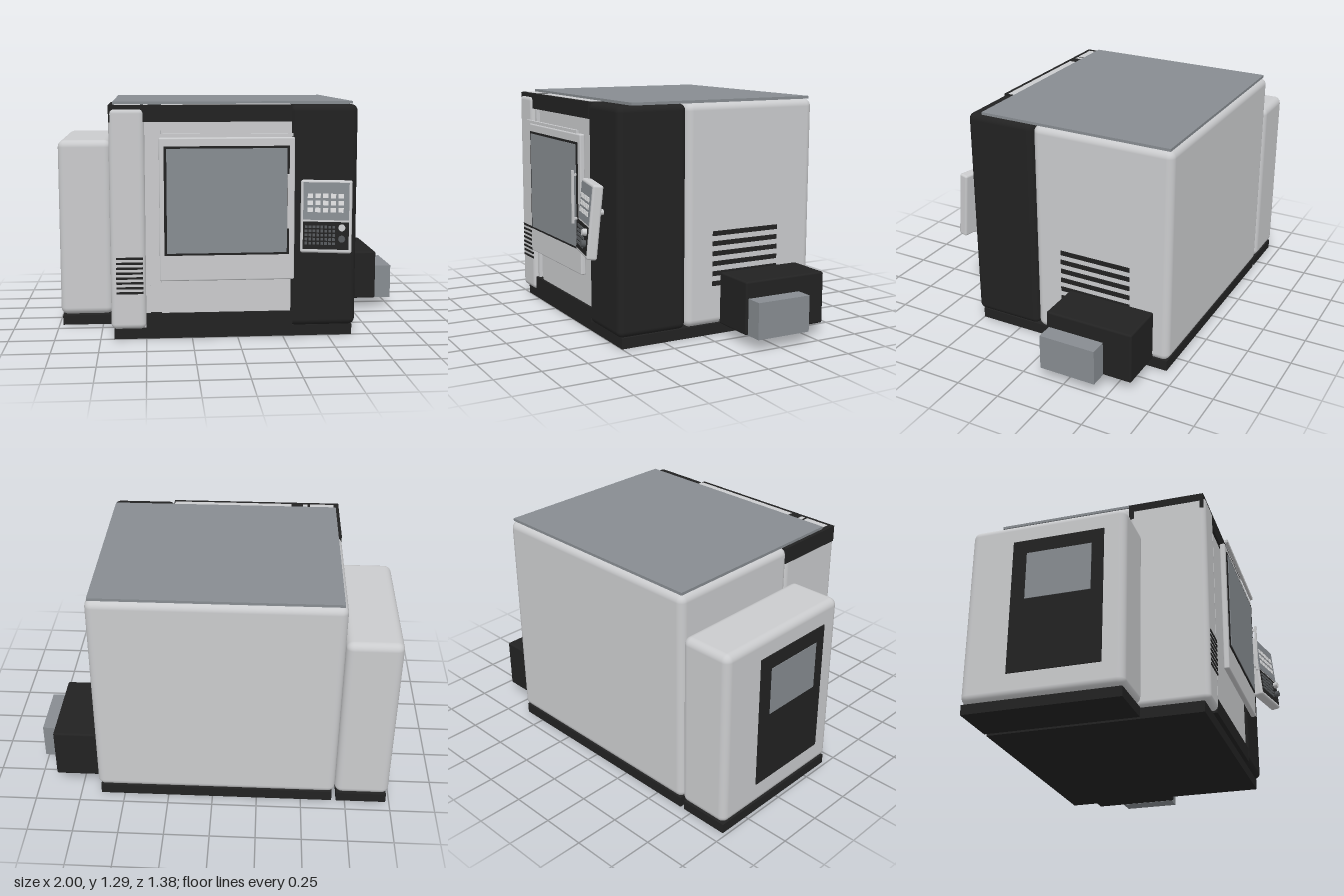
import * as THREE from 'three';
import { RoundedBoxGeometry } from 'three/addons/geometries/RoundedBoxGeometry.js';

const mat = (name, color) => {
  const m = new THREE.MeshStandardMaterial({ color });
  m.name = name;
  return m;
};

export function createModel() {
  const light = mat('light grey paint', 0xcacbcd);
  const black = mat('black paint', 0x222222);
  const grey = mat('grey glass', 0x878c91);
  const white = mat('white keys', 0xe0e1e2);
  const dark = mat('dark grey keys', 0x55585b);

  const model = new THREE.Group();
  model.name = 'machiningCentre';

  // Box from its limits on each axis; r > 0 rounds the edges
  const box = (name, material, x, y, z, r = 0, parent = model) => {
    const w = x[1] - x[0], h = y[1] - y[0], d = z[1] - z[0];
    const geo = r ? new RoundedBoxGeometry(w, h, d, 4, r) : new THREE.BoxGeometry(w, h, d);
    const mesh = new THREE.Mesh(geo, material);
    mesh.name = name;
    mesh.position.set((x[0] + x[1]) / 2, (y[0] + y[1]) / 2, (z[0] + z[1]) / 2);
    parent.add(mesh);
    return mesh;
  };

  // Plinths
  box('basePlinth', black, [-0.675, 0.635], [0, 0.06], [-0.68, 0.5]);
  box('cabinetPlinth', black, [-0.98, -0.7], [0, 0.055], [-0.68, 0.17]);

  // Main enclosure and roof
  box('rearEnclosure', light, [-0.69, 0.65], [0.06, 1.275], [-0.69, 0.12], 0.04);
  box('roofPlate', grey, [-0.67, 0.635], [1.275, 1.29], [-0.67, 0.44]);
  box('rightFrontColumn', black, [0.285, 0.65], [0.06, 1.275], [0.12, 0.525], 0.035);
  box('leftFrontColumn', light, [-0.69, -0.5], [0.06, 1.26], [0.1, 0.533], 0.03);

  // Front opening
  box('frontWall', light, [-0.55, 0.3], [0.06, 1.2], [0.1, 0.49]);
  box('innerPanel', light, [-0.415, 0.29], [0.14, 1.19], [0.48, 0.51]);
  box('wallStrip', light, [-0.5, -0.475], [0.14, 1.19], [0.48, 0.51]);
  box('topBeam', black, [-0.69, 0.29], [1.185, 1.275], [0.1, 0.523]);
  box('bottomBeam', black, [-0.5, 0.3], [0.06, 0.145], [0.3, 0.523]);
  for (const x of [[-0.66, -0.52], [-0.505, -0.48], [-0.41, 0.285]]) {
    box('beamInset', light, x, [1.272, 1.277], [0.43, 0.5]);
  }

  // Sliding door
  box('door', light, [-0.425, 0.3], [0.335, 1.105], [0.548, 0.578], 0.008);
  box('doorRail', light, [-0.42, 0.288], [1.11, 1.127], [0.578, 0.594]);
  box('windowFrame', black, [-0.4, 0.27], [0.475, 1.06], [0.577, 0.584]);
  box('windowGlass', grey, [-0.386, 0.257], [0.487, 1.048], [0.58, 0.587]);
  box('doorHandle', light, [0.256, 0.268], [0.62, 0.91], [0.6, 0.613]);
  for (const y of [0.64, 0.88]) {
    box('handleMount', light, [0.256, 0.268], [y, y + 0.012], [0.58, 0.605]);
  }

  // Ventilation slots
  for (let i = 0; i < 8; i++) {
    const y = 0.453 - i * 0.027;
    box('columnVent', black, [-0.66, -0.515], [y - 0.006, y + 0.006], [0.53, 0.537]);
  }
  for (let i = 0; i < 6; i++) {
    const y = 0.57 - i * 0.0555;
    box('sideVent', black, [0.648, 0.655], [y - 0.013, y + 0.013], [-0.46, -0.042]);
  }

  // Side cabinet with its dark panel
  box('sideCabinet', light, [-0.99, -0.69], [0.06, 1.065], [-0.69, 0.18], 0.04);
  box('cabinetPanel', black, [-0.996, -0.988], [0.19, 0.95], [-0.44, 0.065]);
  box('cabinetWindow', grey, [-0.999, -0.992], [0.6, 0.87], [-0.36, 0]);

  // Chip outlet
  box('outletHousing', black, [0.64, 0.903], [0.06, 0.35], [-0.6, -0.095], 0.01);
  box('outletBin', grey, [0.9, 1], [0.06, 0.26], [-0.435, -0.11]);

  // Control panel on its arm
  const arm = new THREE.Mesh(new THREE.CylinderGeometry(0.016, 0.016, 0.09, 20), light);
  arm.name = 'panelArm';
  arm.rotation.x = Math.PI / 2;
  arm.position.set(0.465, 0.708, 0.555);
  model.add(arm);

  const panel = new THREE.Group();
  panel.name = 'controlPanel';
  panel.position.set(0.467, 0.681, 0.603);
  panel.rotation.set(-0.1, -0.22, 0, 'YXZ');
  model.add(panel);
  box('panelBody', light, [-0.137, 0.137], [-0.195, 0.195], [-0.028, 0.028], 0.012, panel);
  box('panelScreen', grey, [-0.122, 0.122], [-0.018, 0.182], [0.025, 0.031], 0, panel);
  box('keyboard', black, [-0.122, 0.122], [-0.175, -0.028], [0.025, 0.031], 0, panel);
  for (let r = 0; r < 3; r++) {
    for (let c = 0; c < 5; c++) {
      const x = -0.085 + c * 0.041, y = 0.111 - r * 0.038;
      box('screenKey', white, [x - 0.014, x + 0.014], [y - 0.012, y + 0.012], [0.029, 0.035], 0, panel);
    }
  }
  for (let r = 0; r < 5; r++) {
    for (let c = 0; c < 8; c++) {
      const x = -0.105 + c * 0.021, y = -0.055 - r * 0.022;
      box('key', dark, [x - 0.007, x + 0.007], [y - 0.007, y + 0.007], [0.029, 0.036], 0, panel);
    }
  }
  [[-0.058, light], [-0.118, dark]].forEach(([y, material]) => {
    const knob = new THREE.Mesh(new THREE.CylinderGeometry(0.017, 0.019, 0.025, 20), material);
    knob.name = 'knob';
    knob.rotation.x = Math.PI / 2;
    knob.position.set(0.085, y, 0.042);
    panel.add(knob);
  });

  return model;
}
